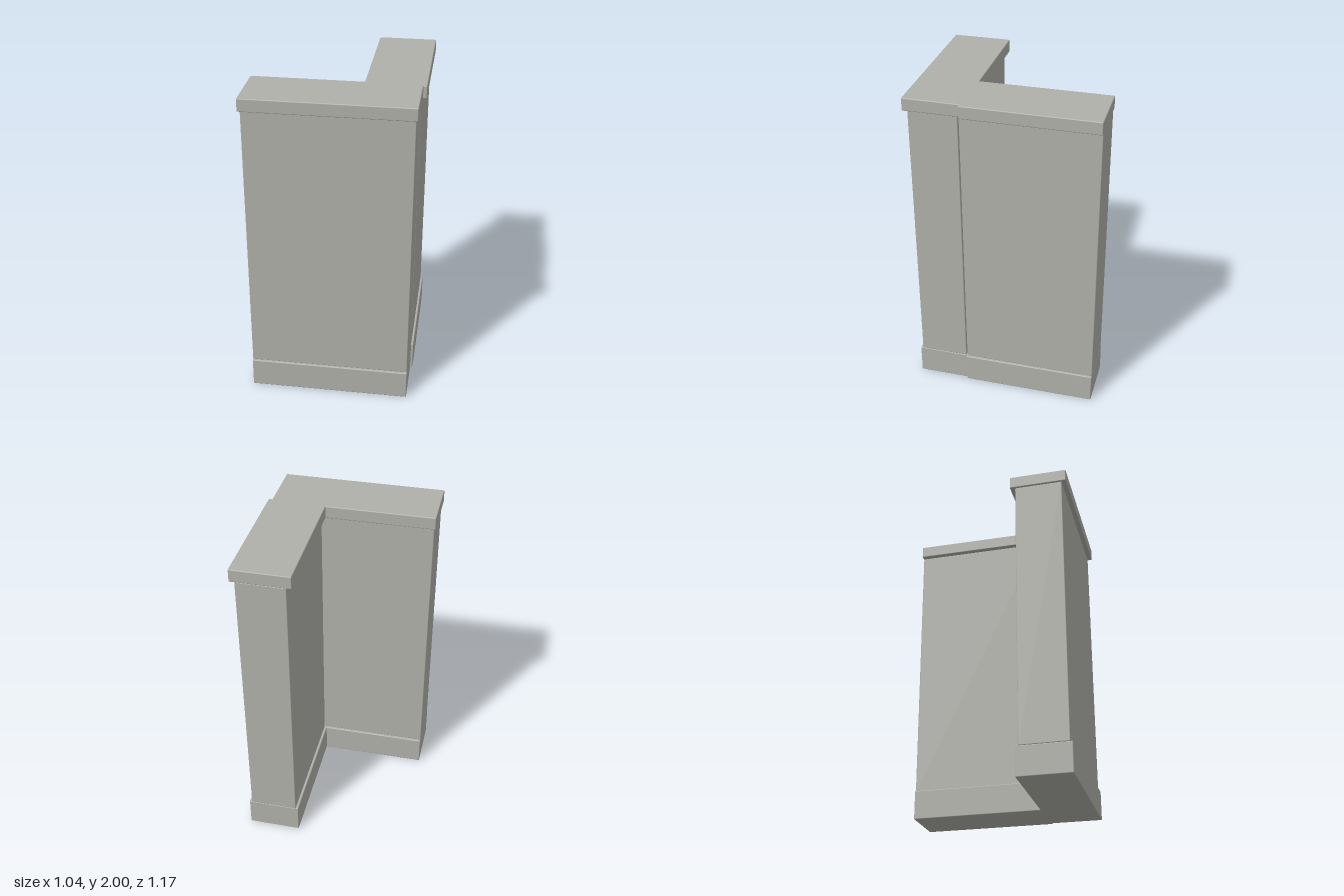
import * as THREE from 'three';
import { RoundedBoxGeometry } from 'three/addons/geometries/RoundedBoxGeometry.js';

export function createModel() {
  const model = new THREE.Group();
  model.name = 'cornerWall';
  const stone = new THREE.MeshStandardMaterial({ color: 0xb0b0aa });
  stone.name = 'warm grey stone';

  // Softly bevelled block given by its extents on each axis
  function block(name, [x0, x1], [y0, y1], [z0, z1], parent) {
    const geometry = new RoundedBoxGeometry(x1 - x0, y1 - y0, z1 - z0, 2, 0.006);
    const mesh = new THREE.Mesh(geometry, stone);
    mesh.name = name;
    mesh.position.set((x0 + x1) / 2, (y0 + y1) / 2, (z0 + z1) / 2);
    parent.add(mesh);
  }

  const base = [0, 0.187], panel = [0.185, 1.922], cap = [1.92, 2];

  // Front wing, running along x
  const front = new THREE.Group();
  front.name = 'frontWing';
  block('frontBase', [-0.511, 0.487], base, [0.237, 0.571], front);
  block('frontPanel', [-0.511, 0.486], panel, [0.254, 0.556], front);
  block('frontCap', [-0.521, 0.497], cap, [0.221, 0.585], front);

  // Side wing, running back along z
  const side = new THREE.Group();
  side.name = 'sideWing';
  block('sideBase', [0.172, 0.503], base, [-0.585, 0.25], side);
  block('sidePanel', [0.188, 0.488], panel, [-0.585, 0.248], side);
  block('sideCap', [0.157, 0.52], cap, [-0.587, 0.241], side);

  model.add(front, side);
  return model;
}
